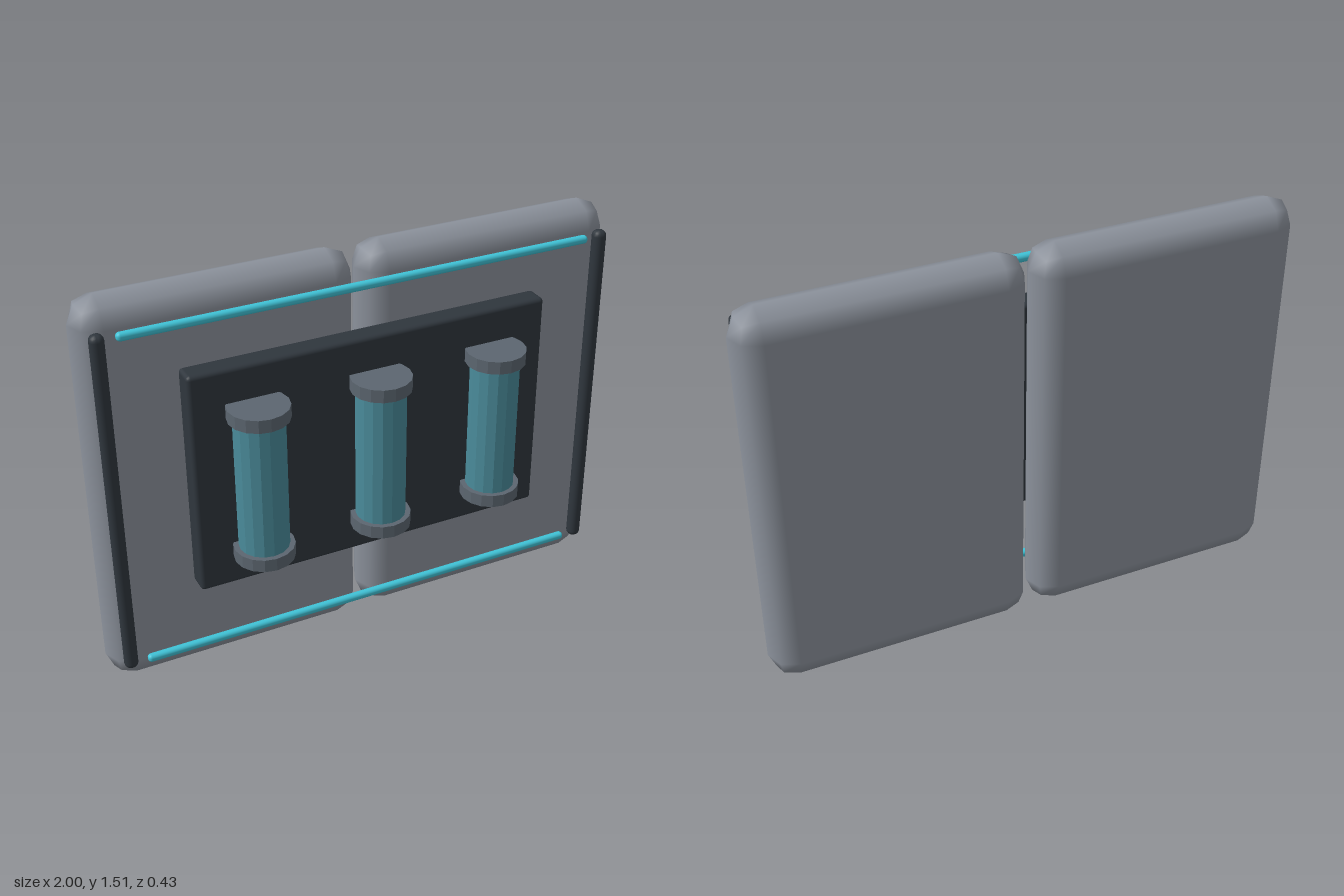
import * as THREE from 'three';
import { RoundedBoxGeometry } from 'three/addons/geometries/RoundedBoxGeometry.js';

const mat = (color, flatShading = false) => new THREE.MeshStandardMaterial({ color, flatShading });

export function createModel() {
  const model = new THREE.Group();
  const steel = mat(0x8c929c), dark = mat(0x2f363d), cyan = mat(0x40c4d8);
  const capGrey = mat(0x5c6670, true), glass = mat(0x4a8b9a, true);

  const add = (name, geometry, material, x, y, z, parent = model) => {
    const mesh = new THREE.Mesh(geometry, material);
    mesh.name = name;
    mesh.position.set(x, y, z);
    parent.add(mesh);
    return mesh;
  };

  // Twin door slabs with broad bevels, and a dark rail on each outer edge
  const doorGeo = new RoundedBoxGeometry(0.993, 1.508, 0.188, 1, 0.094);
  const railGeo = new RoundedBoxGeometry(0.05, 1.326, 0.05, 2, 0.022);
  for (const [side, s] of [['left', 1], ['right', -1]]) {
    add(side + 'Door', doorGeo, steel, s * 0.5035, 0.754, -0.121);
    add(side + 'Rail', railGeo, dark, s * 0.938, 0.757, -0.009);
  }

  // Glowing strips across the top and bottom
  const stripGeo = new RoundedBoxGeometry(1.756, 0.03, 0.03, 2, 0.013);
  add('topStrip', stripGeo, cyan, 0, 1.4, 0);
  add('bottomStrip', stripGeo, cyan, 0, 0.113, 0);

  // Central mounting panel
  add('mountingPanel', new RoundedBoxGeometry(1.352, 0.85, 0.087, 2, 0.015), dark, 0, 0.807, 0.014);

  // Three capped canisters, half sunk in the panel
  const bodyGeo = new THREE.CylinderGeometry(0.09, 0.09, 0.56, 16);
  const capGeo = new THREE.CylinderGeometry(0.109, 0.109, 0.048, 16);
  for (const x of [-0.453, 0, 0.453]) {
    const canister = new THREE.Group();
    canister.name = 'canister';
    canister.position.set(x, 0.806, 0.107);
    add('canisterBody', bodyGeo, glass, 0, 0, 0, canister);
    add('topCap', capGeo, capGrey, 0, 0.276, 0, canister);
    add('bottomCap', capGeo, capGrey, 0, -0.276, 0, canister);
    model.add(canister);
  }
  return model;
}
